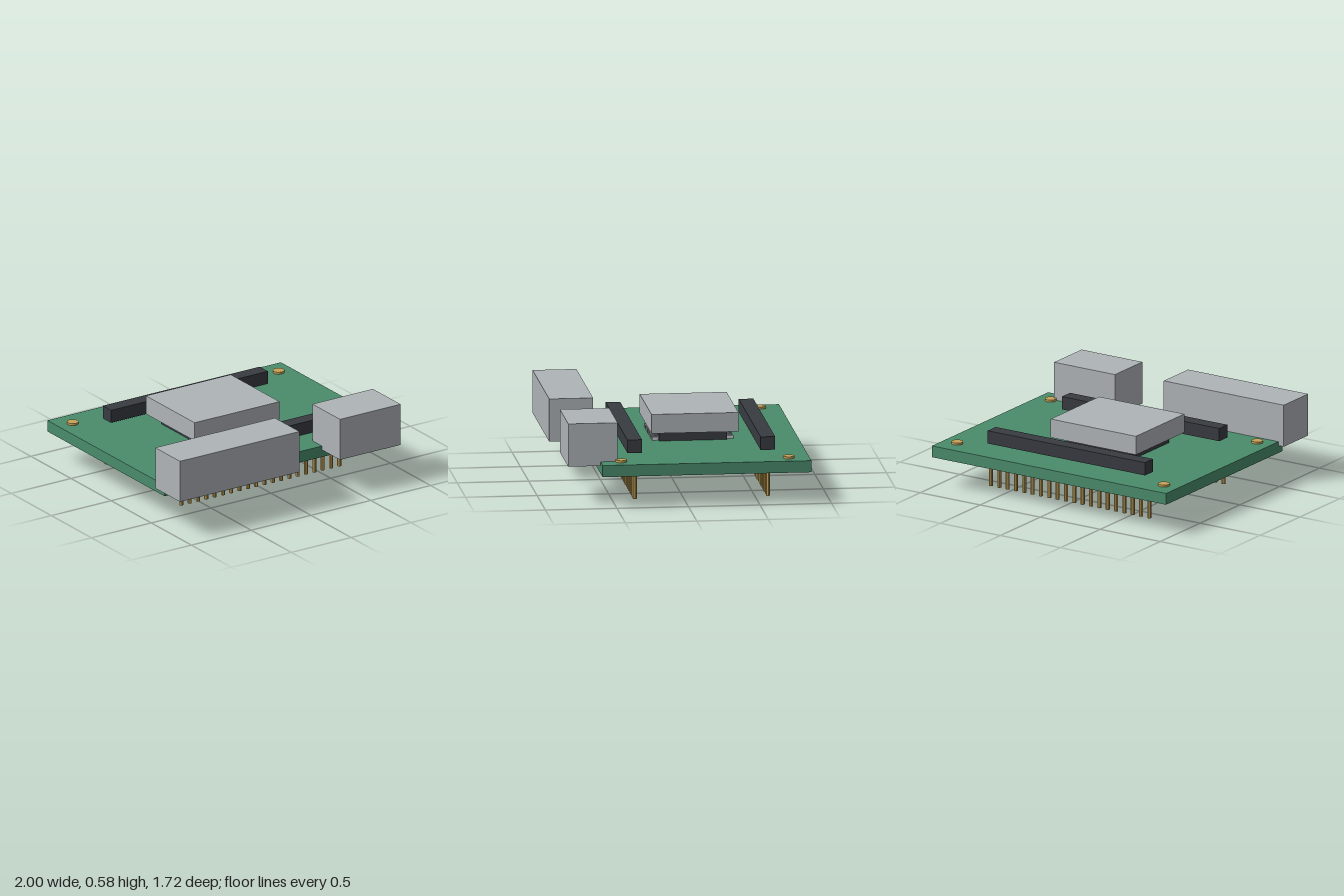
import * as THREE from 'three';

const material = (name, color) => {
  const m = new THREE.MeshStandardMaterial({ color });
  m.name = name;
  return m;
};

export function createModel() {
  const model = new THREE.Group();
  model.name = 'circuitBoard';

  const green = material('boardGreen', 0x4a8c6c);
  const grey = material('metalGrey', 0xafb4b8);
  const dark = material('plasticDark', 0x383b41);
  const gold = material('contactGold', 0xc6a358);
  const silver = material('leadSilver', 0xc4c8cb);
  gold.flatShading = true;

  const add = (name, geometry, mat, x = 0, y = 0, z = 0) => {
    const mesh = new THREE.Mesh(geometry, mat);
    mesh.name = name;
    mesh.position.set(x, y, z);
    model.add(mesh);
  };

  // Box given by its limits on each axis
  const box = (name, mat, [x0, x1], [y0, y1], [z0, z1]) =>
    add(name, new THREE.BoxGeometry(x1 - x0, y1 - y0, z1 - z0), mat,
      (x0 + x1) / 2, (y0 + y1) / 2, (z0 + z1) / 2);

  // Board
  box('board', green, [-0.956, 0.996], [0.223, 0.305], [-0.86, 0.6]);

  // Metal sockets overhanging the front edge
  box('longSocket', grey, [-1, 0], [0.276, 0.579], [0.55, 0.857]);
  box('shortSocket', grey, [0.36, 0.867], [0.276, 0.579], [0.48, 0.825]);

  // Chip with its heat sink
  box('chip', dark, [-0.335, 0.205], [0.305, 0.377], [-0.363, 0.113]);
  box('heatSink', grey, [-0.42, 0.29], [0.377, 0.512], [-0.432, 0.176]);

  // Chip leads along the front and back sides
  const leadCount = 12;
  const lead = new THREE.BoxGeometry(0.02, 0.024, 0.047);
  for (const z of [0.136, -0.386]) {
    for (let i = 0; i < leadCount; i++) {
      add('chipLead', lead, silver, -0.065 + (i - (leadCount - 1) / 2) * 0.042, 0.317, z);
    }
  }

  // Two headers with rows of pins below the board
  const pin = new THREE.CylinderGeometry(0.0145, 0.0145, 0.225, 8);
  for (const z of [0.338, -0.593]) {
    box('header', dark, [-0.637, 0.674], [0.322, 0.415], [z - 0.051, z + 0.051]);
    for (let i = 0; i < 20; i++) {
      add('headerPin', pin, gold, -0.64 + i * 0.0695, 0.1125, z);
    }
  }

  // Gold mounting pads in the corners
  const pad = new THREE.CylinderGeometry(0.041, 0.041, 0.016, 16);
  for (const x of [-0.842, 0.88]) {
    for (const z of [-0.715, 0.456]) add('mountingPad', pad, gold, x, 0.312, z);
  }

  return model;
}
